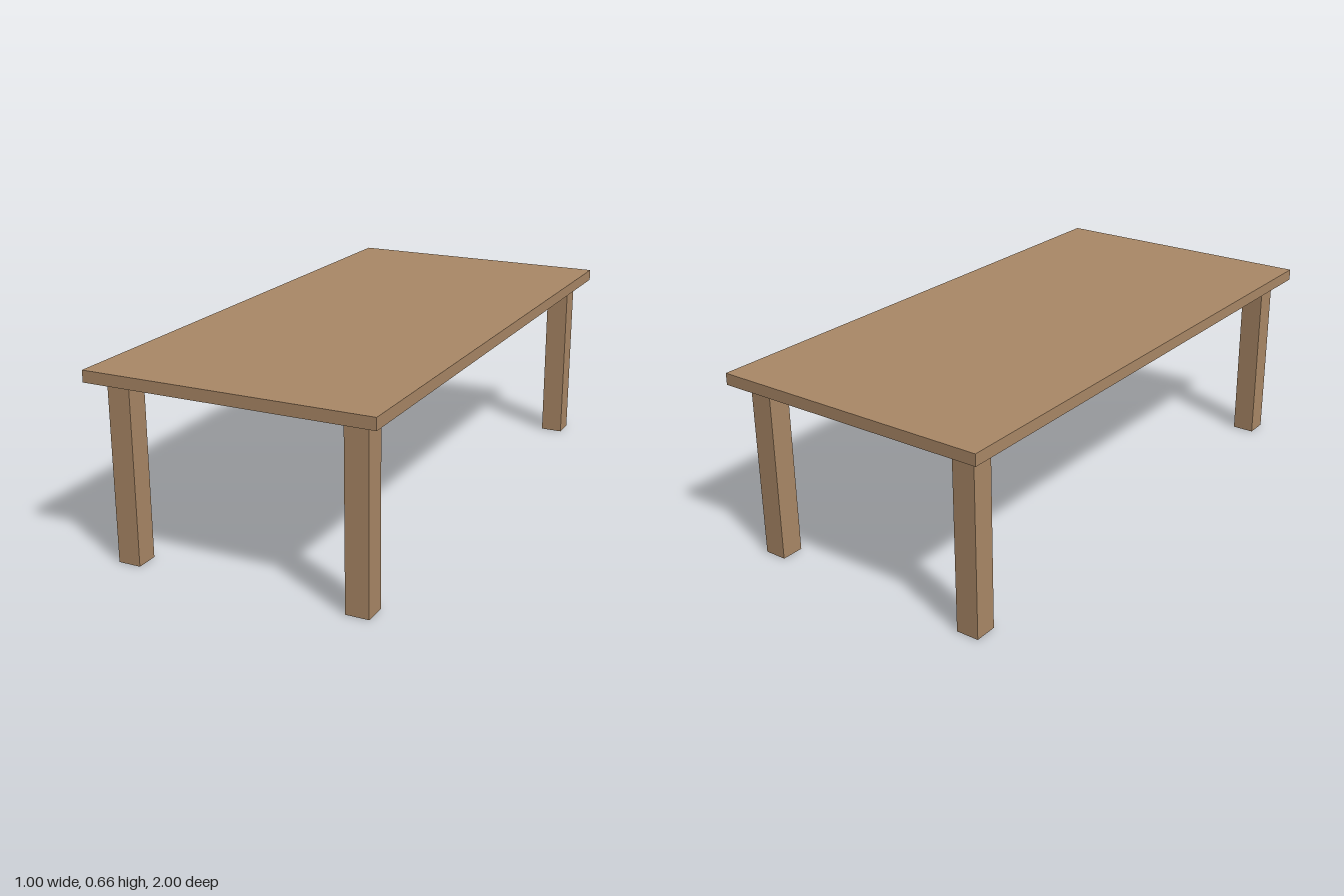
import * as THREE from 'three';

export function createModel() {
  const table = new THREE.Group();
  table.name = 'table';
  const wood = new THREE.MeshStandardMaterial({ color: 0xaa8866 });

  const height = 0.66, topThickness = 0.04, legSize = 0.08;
  const legHeight = height - topThickness;

  const addBox = (name, size, position) => {
    const mesh = new THREE.Mesh(new THREE.BoxGeometry(...size), wood);
    mesh.name = name;
    mesh.position.set(...position);
    table.add(mesh);
  };

  // Flat slab top
  addBox('tableTop', [1, topThickness, 2], [0, height - topThickness / 2, 0]);

  // Four square legs, set in slightly from the corners
  for (const [side, sx] of [['Left', 1], ['Right', -1]]) {
    for (const [end, sz] of [['front', 1], ['back', -1]]) {
      addBox(`${end}${side}Leg`, [legSize, legHeight, legSize], [sx * 0.41, legHeight / 2, sz * 0.905]);
    }
  }

  return table;
}
